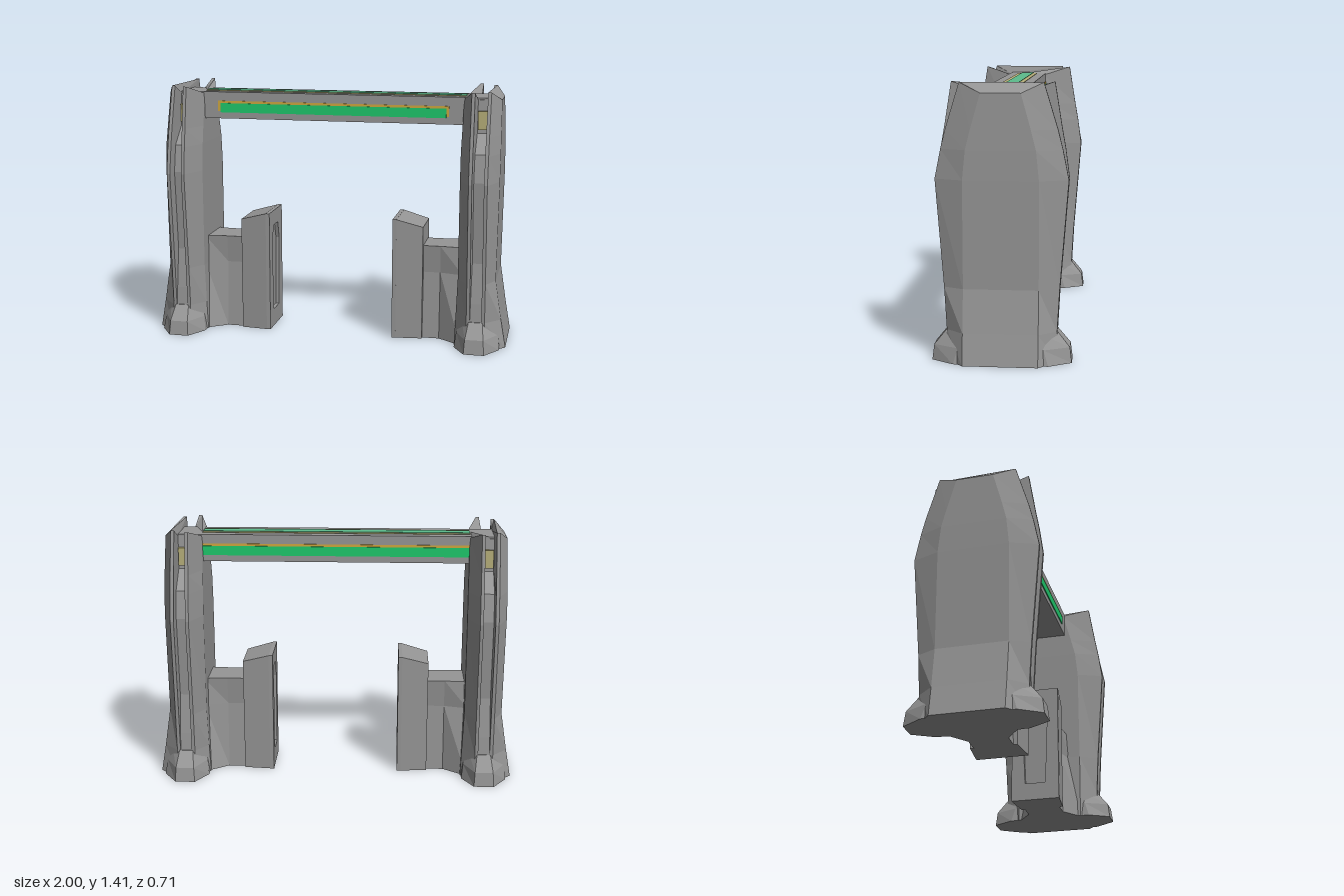
import * as THREE from 'three';

const mat = (name, color) => Object.assign(new THREE.MeshStandardMaterial({ color }), { name });

// Faceted solid through rings of [x, y, z] points running from +x towards +z, bottom ring first
function loft(rings) {
  const pos = [];
  const tri = (a, b, c) => pos.push(...a, ...b, ...c);
  const n = rings[0].length;
  for (let k = 0; k + 1 < rings.length; k++) {
    const a = rings[k], b = rings[k + 1];
    for (let i = 0; i < n; i++) {
      const j = (i + 1) % n;
      tri(a[i], b[i], b[j]);
      tri(a[i], b[j], a[j]);
    }
  }
  const cap = (ring, up) => {
    const flat = ring.map(p => new THREE.Vector2(p[0], p[2]));
    for (const [i, j, k] of THREE.ShapeUtils.triangulateShape(flat, [])) {
      const [a, b, c] = [ring[i], ring[j], ring[k]];
      const ny = (b[2] - a[2]) * (c[0] - a[0]) - (b[0] - a[0]) * (c[2] - a[2]);
      if ((ny > 0) === up) tri(a, b, c); else tri(a, c, b);
    }
  };
  cap(rings[0], false);
  cap(rings[rings.length - 1], true);
  const g = new THREE.BufferGeometry();
  g.setAttribute('position', new THREE.Float32BufferAttribute(pos, 3));
  g.computeVertexNormals();
  return g;
}

// Ring mirrored in z from its front half
const mirrorZ = half => [...half, ...half.map(([x, y, z]) => [x, y, -z]).reverse()];

export function createModel() {
  const stone = mat('grey stone', 0x969696);
  const green = mat('bright green', 0x1fc96c);
  const gold = mat('gold trim', 0xd0a840);
  const paleGreen = mat('pale green', 0x5cbc8c);
  const paleGold = mat('pale gold', 0xb8b07a);

  const model = new THREE.Group();
  model.name = 'gate';
  const add = (parent, name, geo, material) => {
    const m = new THREE.Mesh(geo, material);
    m.name = name;
    parent.add(m);
    return m;
  };
  const box = (parent, name, material, x0, x1, y0, y1, z0, z1) => {
    const m = add(parent, name, new THREE.BoxGeometry(x1 - x0, y1 - y0, z1 - z0), material);
    m.position.set((x0 + x1) / 2, (y0 + y1) / 2, (z0 + z1) / 2);
  };

  // Pillar section: two shell slabs with a groove between them on the front and back
  const section = ({ y, xi, xo, f, eo, ei = eo, g, horn = 0 }) => mirrorZ([
    [xo, y, f], [0.89, y + horn, eo], [0.872, y + horn, eo],
    [0.868, y, g], [0.812, y, g],
    [0.808, y + horn, ei], [0.79, y + horn, ei], [xi, y, f],
  ]);
  const pillar = loft([
    { y: 0, xi: 0.715, xo: 1.0, f: 0.19, eo: 0.29, g: 0.24 },
    { y: 0.16, xi: 0.722, xo: 0.972, f: 0.19, eo: 0.28, g: 0.23 },
    { y: 0.38, xi: 0.73, xo: 0.938, f: 0.19, eo: 0.292, g: 0.23 },
    { y: 0.93, xi: 0.73, xo: 0.945, f: 0.19, eo: 0.335, g: 0.27 },
    { y: 1.08, xi: 0.73, xo: 0.945, f: 0.175, eo: 0.305, ei: 0.315, g: 0.24 },
    { y: 1.18, xi: 0.732, xo: 0.943, f: 0.15, eo: 0.28, ei: 0.297, g: 0.13 },
    { y: 1.36, xi: 0.735, xo: 0.94, f: 0.1, eo: 0.21, ei: 0.26, g: 0.115, horn: 0.05 },
  ].map(section));

  // Stepped toe at the front and back of each pillar
  const toe = loft([[0, 0.355, 0.02], [0.08, 0.345, 0.01], [0.16, 0.28, -0.015]].map(([y, z, w]) => mirrorZ([
    [0.95 + w, y, 0.24 - y * 0.3], [0.885 + w / 2, y, z],
    [0.795 - w / 2, y, z], [0.74 - w, y, 0.24 - y * 0.3],
  ])));

  // Buttress joining pillar and pedestal, spreading towards the pillar
  const buttress = loft([[0, 0.105, 0.2], [0.38, 0.085, 0.12], [0.535, 0.1, 0.11]].map(([y, near, far]) => mirrorZ([
    [0.75, y, far], [0.62, y, near], [0.51, y, near],
  ])));

  // Pedestal with a sloping top
  const topY = x => 0.69 - (x - 0.355) * 0.27;
  const pedestal = loft([0, 1].map(t => mirrorZ([
    [0.525, t * topY(0.525), 0.125], [0.375, t * topY(0.375), 0.14],
  ])));
  // Raised frame around the sunken panel on the pedestal's inner face
  const frameShape = new THREE.Shape([[-0.14, 0], [0.14, 0], [0.14, 0.685], [-0.14, 0.685]]
    .map(p => new THREE.Vector2(...p)));
  frameShape.holes.push(new THREE.Path([[-0.06, 0.1], [-0.075, 0.5], [-0.045, 0.6], [0.045, 0.6], [0.075, 0.5], [0.06, 0.1]]
    .map(p => new THREE.Vector2(...p))));
  const frame = new THREE.ExtrudeGeometry(frameShape, { depth: 0.022, bevelEnabled: false });
  frame.rotateY(-Math.PI / 2).translate(0.377, 0, 0);

  for (const side of ['left', 'right']) {
    const tower = new THREE.Group();
    tower.name = side + 'Tower';
    if (side === 'right') tower.rotation.y = Math.PI;
    model.add(tower);
    add(tower, 'pillar', pillar, stone);
    add(tower, 'toes', toe, stone);
    add(tower, 'buttress', buttress, stone);
    add(tower, 'pedestal', pedestal, stone);
    add(tower, 'pedestalFrame', frame, stone);
    for (const s of [1, -1]) {
      // Wedge in the lower groove and lamp in the upper groove
      const wedge = loft([[0.14, 0.275], [0.26, 0.265], [0.5, 0.235]].map(([y, z]) => {
        const zs = [s * z, s * 0.2].sort((a, b) => b - a);
        return [[0.872, y, zs[1]], [0.872, y, zs[0]], [0.808, y, zs[0]], [0.808, y, zs[1]]];
      }));
      add(tower, 'grooveWedge', wedge, stone);
      const z = [s * 0.11, s * 0.145].sort((a, b) => a - b);
      box(tower, 'grooveLamp', paleGold, 0.815, 0.865, 1.2, 1.3, z[0], z[1]);
    }
  }

  // Crossbeam with light strips on the front, back and top
  box(model, 'crossbeam', stone, -0.88, 0.88, 1.22, 1.37, -0.11, 0.11);
  box(model, 'frontTrim', gold, -0.655, 0.655, 1.262, 1.32, 0.109, 0.113);
  box(model, 'frontStrip', green, -0.64, 0.64, 1.255, 1.307, 0.109, 0.116);
  box(model, 'backTrim', gold, -0.74, 0.74, 1.262, 1.32, -0.113, -0.109);
  box(model, 'backStrip', green, -0.74, 0.74, 1.255, 1.307, -0.116, -0.109);
  box(model, 'topTrim', paleGold, -0.74, 0.74, 1.369, 1.373, -0.058, 0.058);
  box(model, 'topStrip', paleGreen, -0.74, 0.74, 1.369, 1.376, -0.034, 0.034);
  return model;
}
